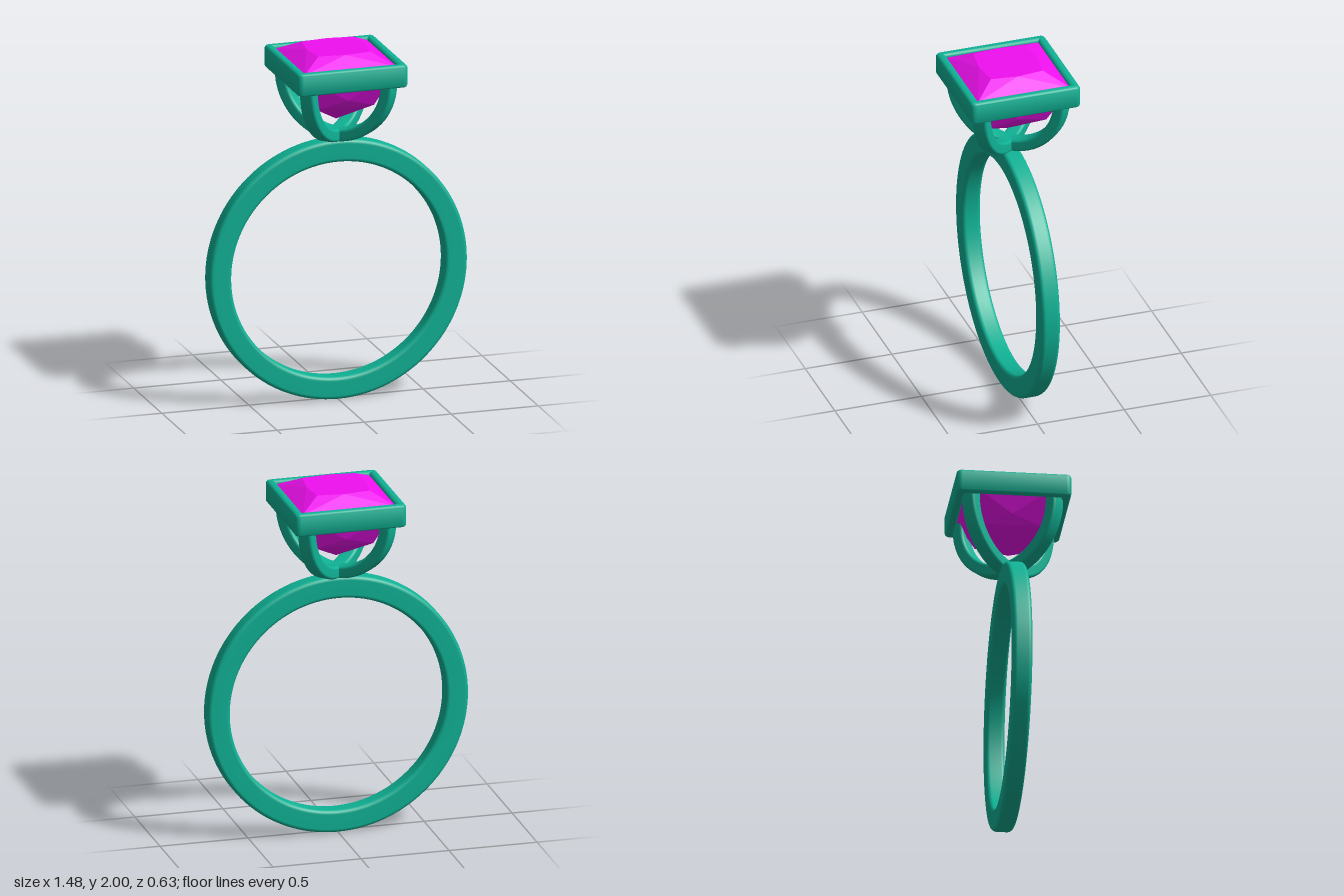
import * as THREE from 'three';
import { toCreasedNormals } from 'three/addons/utils/BufferGeometryUtils.js';
import { ConvexGeometry } from 'three/addons/geometries/ConvexGeometry.js';

// Closed rounded-rectangle section, counter-clockwise, starting mid inner side
function section(rIn, rOut, halfWidth, corner) {
  const pts = [new THREE.Vector2(rIn, 0)];
  const corners = [
    [rIn + corner, -halfWidth + corner, Math.PI],
    [rOut - corner, -halfWidth + corner, Math.PI * 1.5],
    [rOut - corner, halfWidth - corner, 0],
    [rIn + corner, halfWidth - corner, Math.PI / 2],
  ];
  for (const [x, y, start] of corners) {
    for (let i = 0; i <= 5; i++) {
      const a = start + (i / 5) * Math.PI / 2;
      pts.push(new THREE.Vector2(x + corner * Math.cos(a), y + corner * Math.sin(a)));
    }
  }
  pts.push(new THREE.Vector2(rIn, 0));
  return pts;
}

function roundedSquare(target, h, r) {
  target.moveTo(h, -h + r);
  target.lineTo(h, h - r);
  target.absarc(h - r, h - r, r, 0, Math.PI / 2);
  target.lineTo(-h + r, h);
  target.absarc(-h + r, h - r, r, Math.PI / 2, Math.PI);
  target.lineTo(-h, -h + r);
  target.absarc(-h + r, -h + r, r, Math.PI, Math.PI * 1.5);
  target.lineTo(h - r, -h);
  target.absarc(h - r, -h + r, r, Math.PI * 1.5, Math.PI * 2);
  return target;
}

export function createModel() {
  const group = new THREE.Group();
  const metal = new THREE.MeshStandardMaterial({ color: 0x0fb295, side: THREE.DoubleSide });
  const gem = new THREE.MeshStandardMaterial({ color: 0xf010f0, flatShading: true });
  const add = (name, geometry, material, y) => {
    const mesh = new THREE.Mesh(geometry, material);
    mesh.name = name;
    mesh.position.y = y;
    group.add(mesh);
    return mesh;
  };

  // Finger band
  const band = new THREE.LatheGeometry(section(0.613, 0.74, 0.053, 0.022), 128);
  add('band', band.rotateX(Math.PI / 2), metal, 0.74);

  // Two crossed half hoops form the four prongs, running to the frame corners
  const over = 0.1;
  const hoop = new THREE.LatheGeometry(section(0.29, 0.36, 0.043, 0.016), 48,
    -Math.PI / 2 - over, Math.PI + 2 * over).rotateX(Math.PI / 2);
  for (const side of [1, -1]) {
    add(side > 0 ? 'prongHoopA' : 'prongHoopB', hoop, metal, 1.83).rotation.y = side * Math.PI / 4;
  }

  // Square frame with softened edges
  const bevel = 0.02;
  const outline = roundedSquare(new THREE.Shape(), 0.316, 0.028);
  const hole = new THREE.Path();
  const h = 0.265;
  hole.moveTo(-h, -h).lineTo(-h, h).lineTo(h, h).lineTo(h, -h).lineTo(-h, -h);
  outline.holes.push(hole);
  const frame = new THREE.ExtrudeGeometry(outline, {
    depth: 0.13 - 2 * bevel, curveSegments: 5,
    bevelThickness: bevel, bevelSize: bevel, bevelOffset: -bevel, bevelSegments: 4,
  });
  frame.rotateX(-Math.PI / 2);
  add('frame', toCreasedNormals(frame, 0.6), metal, 1.825 + bevel);

  // Faceted stone: rings of [y, corner reach, side-middle y, side-middle reach]
  const points = [new THREE.Vector3(0, 1.59, 0)];
  const rings = [
    [2.0, 0.15, 2.0, 0.168],
    [1.936, 0.266],
    [1.918, 0.266],
    [1.7, 0.165, 1.75, 0.205],
  ];
  for (const [cy, c, my, m] of rings) {
    for (const s of [1, -1]) {
      points.push(new THREE.Vector3(c * s, cy, c), new THREE.Vector3(c * s, cy, -c));
      if (m) points.push(new THREE.Vector3(m * s, my, 0), new THREE.Vector3(0, my, m * s));
    }
  }
  add('stone', new ConvexGeometry(points), gem, 0);

  return group;
}
